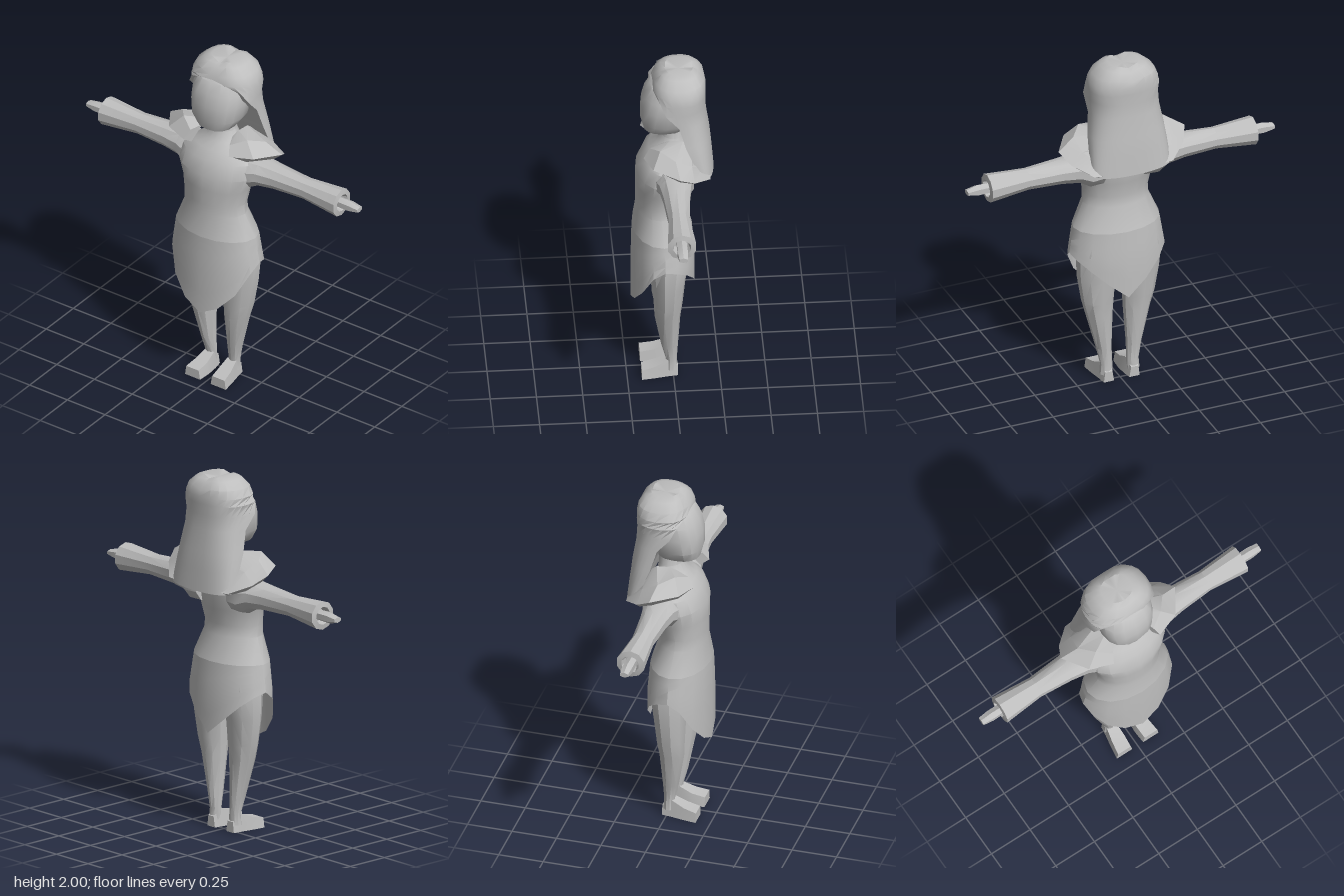
import * as THREE from 'three';
import { toCreasedNormals } from 'three/addons/utils/BufferGeometryUtils.js';

const clay = new THREE.MeshStandardMaterial({ color: 0xbebebe, side: THREE.DoubleSide });
clay.name = 'light grey';

// Skin a list of closed loops; loops run counter-clockwise seen from the last row.
function loft(name, rows, { start = true, end = true, crease = 0.6, dip = 0 } = {}) {
  const n = rows[0].length, pos = rows.flat(2), index = [];
  for (let i = 0; i < rows.length - 1; i++) {
    for (let j = 0; j < n; j++) {
      const a = i * n + j, b = i * n + (j + 1) % n;
      index.push(a, b, b + n, a, b + n, a + n);
    }
  }
  const cap = (r, flip, drop) => {
    const c = pos.length / 3, row = rows[r];
    for (let k = 0; k < 3; k++) {
      pos.push(row.reduce((s, p) => s + p[k], 0) / n - (k === 1 ? drop : 0));
    }
    for (let j = 0; j < n; j++) {
      const a = r * n + j, b = r * n + (j + 1) % n;
      index.push(c, flip ? b : a, flip ? a : b);
    }
  };
  if (start) cap(0, true, 0);
  if (end) cap(rows.length - 1, false, dip);
  const g = new THREE.BufferGeometry();
  g.setAttribute('position', new THREE.Float32BufferAttribute(pos, 3));
  g.setIndex(index);
  const mesh = new THREE.Mesh(toCreasedNormals(g, crease), clay);
  mesh.name = name;
  return mesh;
}

const round = (v, e) => Math.sign(v) * Math.abs(v) ** e;

// Horizontal ring: height, half width, front z, back z
function ring(y, w, zf, zb, n = 16, e = 1) {
  return Array.from({ length: n }, (_, j) => {
    const t = j / n * Math.PI * 2;
    return [w * round(Math.sin(t), e), y, (zf + zb) / 2 + (zf - zb) / 2 * round(Math.cos(t), e)];
  });
}

// Ring around the x axis: x, centre height, radii in y and z
function armRing([x, cy, ry, rz], n = 10) {
  return Array.from({ length: n }, (_, j) => {
    const t = j / n * Math.PI * 2;
    return [x, cy + ry * Math.cos(t), rz * Math.sin(t)];
  });
}

// Body outline from hips to neck: y, half width, front z, back z
const BODY = [
  [0.45, 0.28, 0.225, -0.12], [0.78, 0.28, 0.225, -0.12], [0.96, 0.25, 0.22, -0.105],
  [1.1, 0.19, 0.2, -0.06], [1.16, 0.188, 0.2, -0.053], [1.25, 0.203, 0.2, -0.075],
  [1.34, 0.235, 0.2, -0.085], [1.42, 0.225, 0.165, -0.09], [1.47, 0.17, 0.13, -0.09],
  [1.51, 0.1, 0.09, -0.08], [1.56, 0.07, 0.06, -0.07], [1.63, 0.065, 0.06, -0.07],
];

function bodyAt(y) {
  let i = 0;
  while (i < BODY.length - 2 && BODY[i + 1][0] < y) i++;
  const f = (y - BODY[i][0]) / (BODY[i + 1][0] - BODY[i][0]);
  return BODY[i].map((v, k) => v + (BODY[i + 1][k] - v) * f);
}

// Skirt with a hem pointed at front and back and cut high at the sides
const HEM = [0.475, 0.53, 0.63, 0.76, 0.81, 0.79, 0.735, 0.65, 0.56];

function makeSkirt() {
  const rows = [0, 0.25, 0.5, 0.75, 1].map(s => HEM.concat(HEM.slice(1, 8).reverse()).map((hem, j) => {
    const y = hem + (0.96 - hem) * s;
    return ring(...bodyAt(y))[j];
  }));
  return loft('skirt', rows, { start: false, end: false });
}

// Hair: y, half width, centre z, depth, sweep from the back around to the front
function makeHair() {
  const n = 18;
  const rows = [
    [1.395, 0.23, -0.14, 0.08, 1.57], [1.5, 0.225, -0.1, 0.11, 1.57],
    [1.6, 0.218, -0.06, 0.14, 1.57], [1.72, 0.2, -0.025, 0.157, 1.57],
    [1.8, 0.2, 0, 0.178, 1.75], [1.86, 0.2, -0.03, 0.15, 2.25],
    [1.9, 0.192, -0.032, 0.148, 2.8], [1.945, 0.172, -0.035, 0.137, 3.05],
    [1.985, 0.125, -0.035, 0.105, 3.1], [2.0, 0.085, -0.035, 0.075, 3.1],
  ].map(([y, w, zc, d, a]) => Array.from({ length: n + 1 }, (_, j) => {
    const t = (j / n * 2 - 1) * a;
    const parting = y > 1.93 && Math.abs(Math.sin(t)) < 0.1 ? 0.014 : 0;
    const sag = y < 1.45 ? 0.015 * Math.cos(t) : 0;
    return [-w * round(Math.sin(t), 0.8), y - parting - sag, zc - d * round(Math.cos(t), 0.8)];
  }));
  return loft('hair', rows, { dip: 0.014 });
}

// Shoulder mantle: inner, ridge, outer and under point of each section, front to back
function makeMantle() {
  const half = [
    [[0.1, 1.56, 0.06], [0.13, 1.55, 0.13], [0.15, 1.5, 0.165], [0.13, 1.47, 0.12]],
    [[0.11, 1.58, 0.02], [0.21, 1.585, 0.08], [0.28, 1.51, 0.12], [0.22, 1.46, 0.1]],
    [[0.12, 1.58, -0.05], [0.275, 1.56, 0], [0.37, 1.5, -0.02], [0.32, 1.455, -0.02]],
    [[0.12, 1.54, -0.1], [0.26, 1.51, -0.09], [0.33, 1.45, -0.1], [0.28, 1.41, -0.1]],
    [[0.1, 1.5, -0.11], [0.18, 1.45, -0.15], [0.23, 1.4, -0.19], [0.2, 1.38, -0.17]],
    [[0, 1.48, -0.11], [0, 1.44, -0.16], [0, 1.39, -0.215], [0, 1.37, -0.18]],
  ];
  const other = half.slice(0, 5).reverse().map(s => s.map(([x, y, z]) => [-x, y, z]));
  const rows = half.concat(other).map(s => s.slice().reverse());
  return loft('shoulderMantle', rows, { crease: 0.4 });
}

// Arm with an open cuff, hand, leg and foot of one side
function makeLimbs(name) {
  const g = new THREE.Group();
  g.name = name;
  g.add(loft('sleeve', [
    [0.12, 1.35, 0.1, 0.1], [0.2, 1.35, 0.1, 0.11], [0.26, 1.365, 0.08, 0.09],
    [0.36, 1.368, 0.07, 0.075], [0.55, 1.365, 0.06, 0.06], [0.78, 1.36, 0.08, 0.08],
    [0.785, 1.36, 0.05, 0.05], [0.74, 1.36, 0.04, 0.04],
  ].map(r => armRing(r))));
  g.add(loft('hand', [
    [0.73, 1.36, 0.03, 0.03], [0.84, 1.36, 0.032, 0.032], [0.9, 1.36, 0.015, 0.026],
  ].map(r => armRing(r, 6)), { crease: 0.4 }));
  g.add(loft('leg', [
    [0.04, 0.08, 0.036, 0.01, 0.034], [0.1, 0.077, 0.034, 0.01, 0.03],
    [0.2, 0.088, 0.043, 0.02, 0.045], [0.41, 0.11, 0.075, 0.033, 0.07],
    [0.5, 0.12, 0.09, 0.03, 0.078], [0.65, 0.127, 0.108, 0.028, 0.09],
    [0.82, 0.13, 0.115, 0.02, 0.105], [0.96, 0.12, 0.1, 0.03, 0.1],
  ].map(([y, cx, rx, cz, rz]) => ring(y, rx, cz + rz, cz - rz, 10)
    .map(([x, py, z]) => [x + cx, py, z]))));
  g.add(loft('foot', [
    [-0.025, 0.055, 0.105, 0.06], [0.03, 0.045, 0.112, 0.1],
    [0.1, 0.04, 0.125, 0.07], [0.172, 0.045, 0.135, 0.055],
  ].map(([z, a, b, h]) => [[a - 0.01, 0, z], [b, 0, z], [b - 0.008, h, z], [a, h, z]]), { crease: 0.4 }));
  return g;
}

export function createModel() {
  const model = new THREE.Group();
  model.name = 'figure';
  model.add(loft('torso', BODY.slice(2).map(r => ring(...r)), { start: false }));
  model.add(makeSkirt());
  model.add(loft('head', [
    [1.597, 0.06, 0.1, -0.05], [1.62, 0.105, 0.16, -0.07], [1.68, 0.145, 0.175, -0.1],
    [1.77, 0.158, 0.173, -0.13], [1.84, 0.158, 0.155, -0.14], [1.9, 0.135, 0.122, -0.12],
    [1.93, 0.08, 0.07, -0.08],
  ].map(r => ring(...r, 16, 0.8))));
  model.add(makeHair());
  model.add(makeMantle());
  const left = makeLimbs('leftLimbs'), right = makeLimbs('rightLimbs');
  right.scale.x = -1;
  model.add(left, right);
  return model;
}
